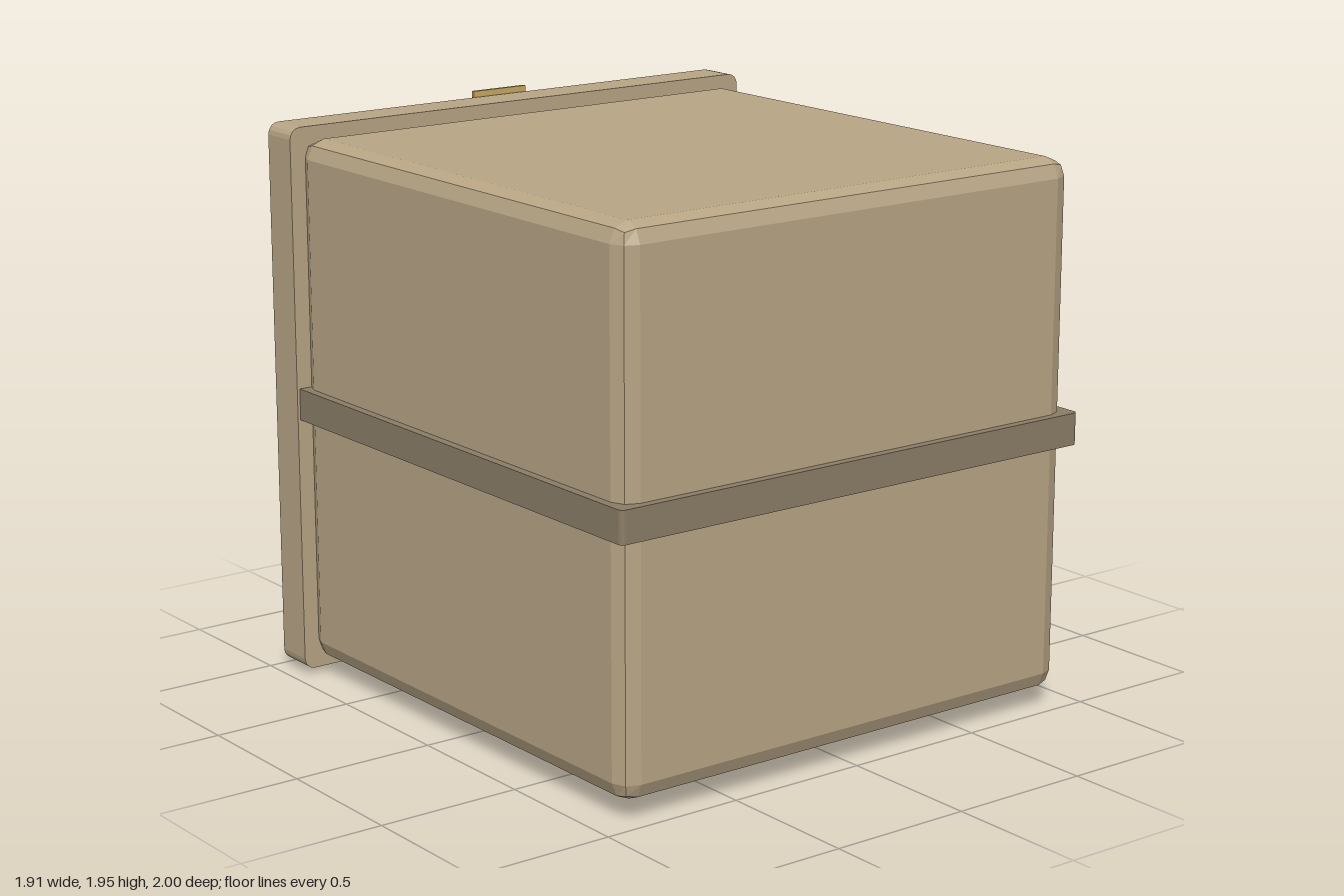
import * as THREE from 'three';
import { RoundedBoxGeometry } from 'three/addons/geometries/RoundedBoxGeometry.js';

const CENTRE_Y = 0.975;

const material = (name, color) => {
  const m = new THREE.MeshStandardMaterial({ color });
  m.name = name;
  return m;
};

// Plate with rounded corners in XY, extruded along z and centred on the origin
function roundedPlate(w, h, depth, r) {
  const x = w / 2, y = h / 2;
  const s = new THREE.Shape();
  s.moveTo(-x + r, -y);
  s.absarc(x - r, -y + r, r, -Math.PI / 2, 0);
  s.absarc(x - r, y - r, r, 0, Math.PI / 2);
  s.absarc(-x + r, y - r, r, Math.PI / 2, Math.PI);
  s.absarc(-x + r, -y + r, r, Math.PI, Math.PI * 1.5);
  const g = new THREE.ExtrudeGeometry(s, { depth, bevelEnabled: false, curveSegments: 2 });
  return g.translate(0, 0, -depth / 2);
}

export function createModel() {
  const card = material('cardboard', 0xb8a585);
  const dark = material('darkBand', 0x8b7d67);
  const gold = material('tape', 0xc9a963);

  const model = new THREE.Group();
  model.name = 'box';
  const add = (name, geometry, mat, z) => {
    const mesh = new THREE.Mesh(geometry, mat);
    mesh.name = name;
    mesh.position.set(0, CENTRE_Y, z);
    model.add(mesh);
  };

  // Cube body with faceted two-step bevels
  const body = new RoundedBoxGeometry(1.83, 1.83, 1.83, 1, 0.065);
  body.computeVertexNormals();
  add('body', body, card, 0.055);

  // Band round the middle
  const band = roundedPlate(1.89, 1.89, 0.11, 0.018).rotateX(Math.PI / 2);
  add('band', band, dark, 0.055);

  // Lid at the back, with a strip of tape behind it
  add('lid', roundedPlate(1.91, 1.91, 0.14, 0.04), card, -0.908);
  add('tapeStrip', new THREE.BoxGeometry(0.22, 1.95, 0.014), gold, -0.993);

  return model;
}
